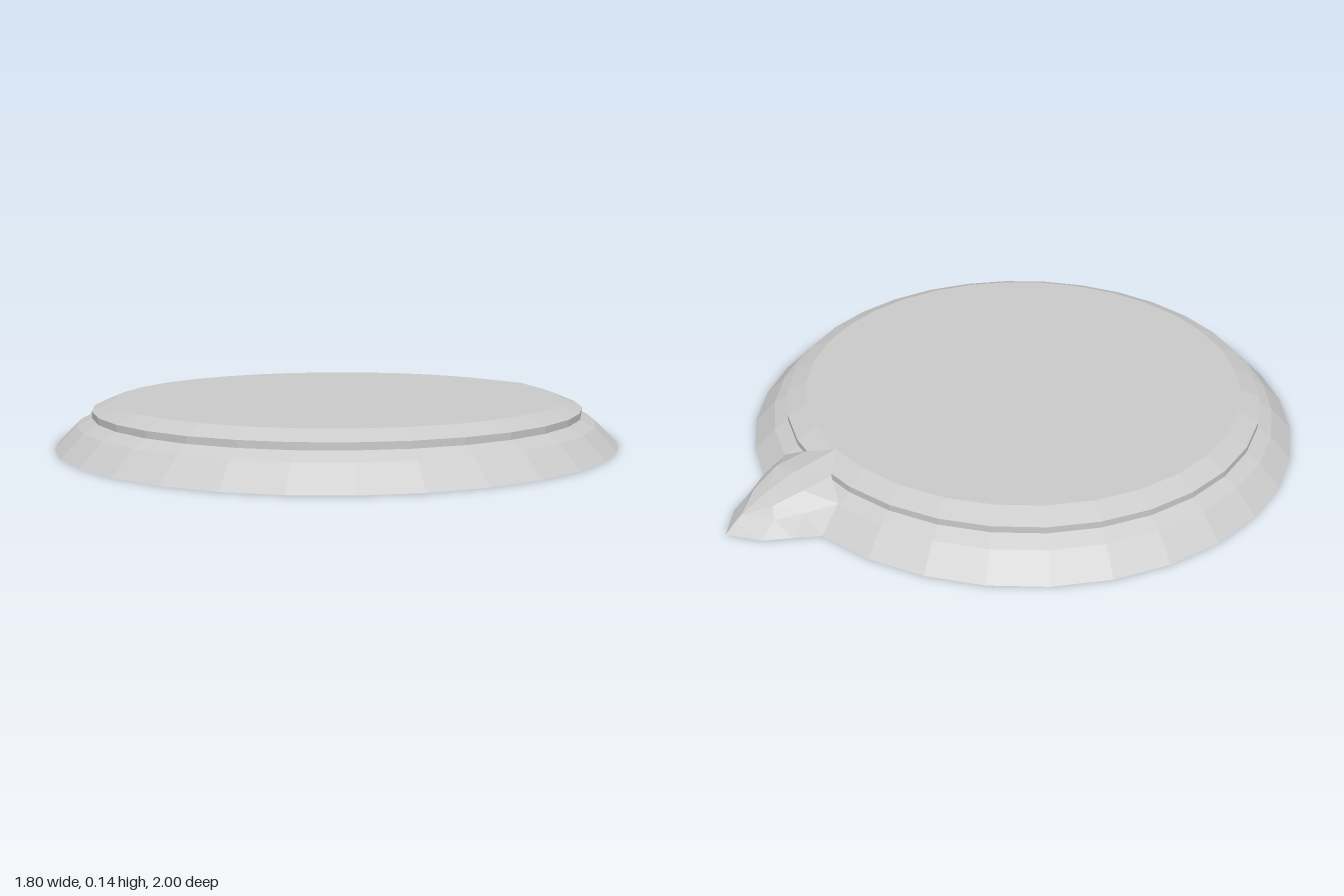
import * as THREE from 'three';

const material = new THREE.MeshStandardMaterial({ color: 0xcccccc, flatShading: true });
const CENTRE_Z = 0.1;

// Round lid: flat base, sloped rim, small vertical step, bevelled flat top
function makeDisc() {
  const profile = [[0, 0], [0.9, 0], [0.83, 0.07], [0.785, 0.093], [0.785, 0.114], [0.72, 0.14], [0, 0.14]];
  const geometry = new THREE.LatheGeometry(profile.map(([r, y]) => new THREE.Vector2(r, y)), 32);
  const disc = new THREE.Mesh(geometry, material);
  disc.name = 'disc';
  disc.position.z = CENTRE_Z;
  return disc;
}

// Pointed lip at the back: half cross-sections from ridge down to base, mirrored in x
function makePointedLip() {
  const rows = [
    [[0, 0.14, -0.62], [0.08, 0.116, -0.685], [0.16, 0.072, -0.71], [0.176, 0, -0.783]],
    [[0, 0.12, -0.76], [0.08, 0.105, -0.78], [0.125, 0.062, -0.8], [0.133, 0, -0.855]],
    [[0, 0.088, -0.86], [0.055, 0.075, -0.87], [0.08, 0.045, -0.88], [0.09, 0, -0.93]],
    [[0, 0.055, -0.925], [0, 0.045, -0.945], [0, 0.03, -0.965], [0, 0, -1]],
  ];
  const positions = [];
  const mirror = ([x, y, z]) => [-x, y, z];
  const addTriangle = (a, b, c) => {
    positions.push(...a, ...b, ...c);
    positions.push(...mirror(a), ...mirror(c), ...mirror(b));
  };
  for (let i = 0; i < rows.length - 1; i++) {
    for (let j = 0; j < 3; j++) {
      const a = rows[i][j], b = rows[i][j + 1], c = rows[i + 1][j + 1], d = rows[i + 1][j];
      addTriangle(a, b, d);
      addTriangle(b, c, d);
    }
    // underside
    addTriangle([0, 0, -0.8], rows[i + 1][3], rows[i][3]);
  }
  const geometry = new THREE.BufferGeometry();
  geometry.setAttribute('position', new THREE.Float32BufferAttribute(positions, 3));
  geometry.computeVertexNormals();
  const lip = new THREE.Mesh(geometry, material);
  lip.name = 'pointedLip';
  return lip;
}

export function createModel() {
  const model = new THREE.Group();
  model.name = 'lid';
  model.add(makeDisc(), makePointedLip());
  return model;
}
